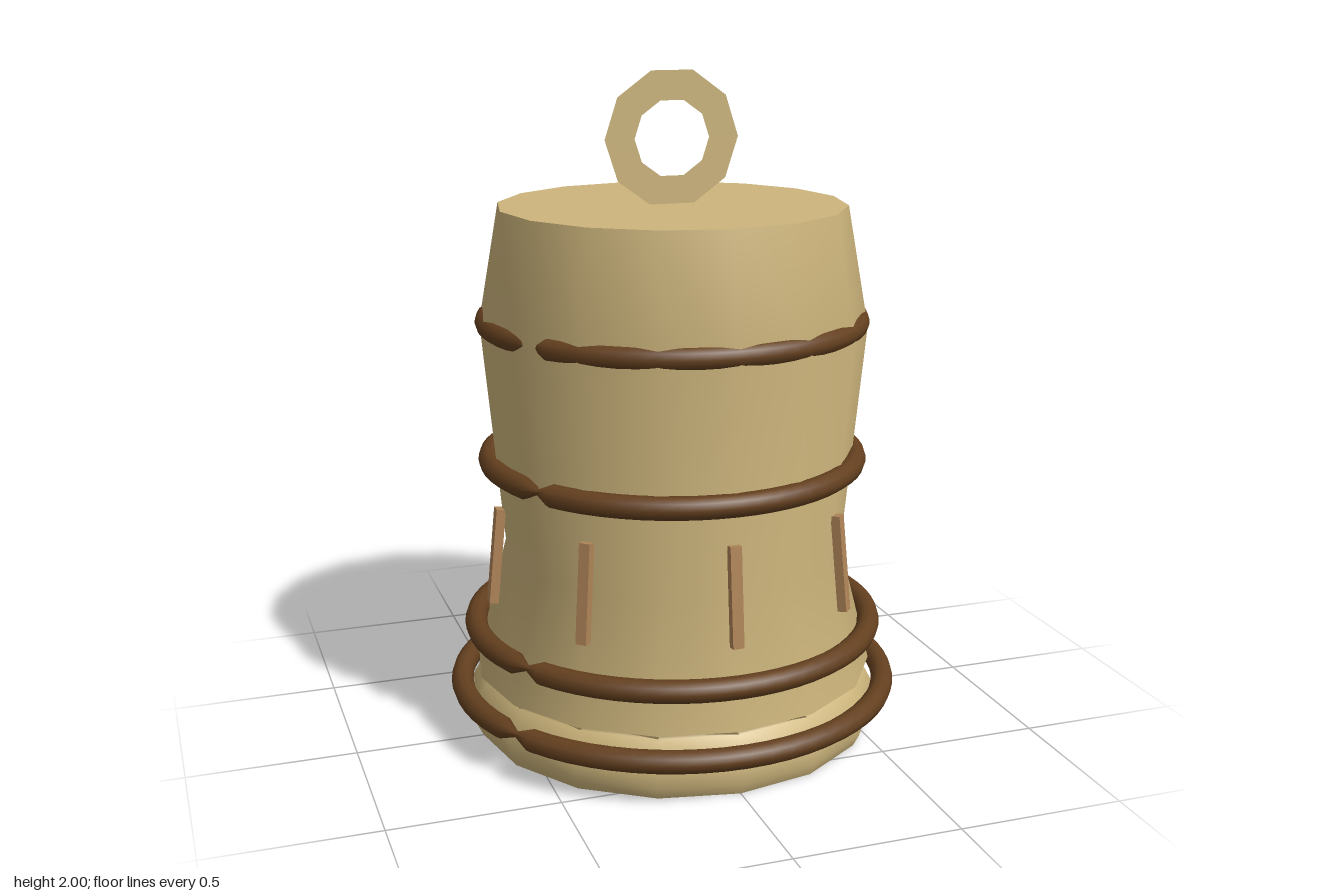
import * as THREE from 'three';

const brass = new THREE.MeshStandardMaterial({ color: 0xcdb57c });
brass.name = 'brass';
const flatBrass = new THREE.MeshStandardMaterial({ color: 0xcdb57c, side: THREE.DoubleSide });
flatBrass.name = 'brass sheet';
const darkBrown = new THREE.MeshStandardMaterial({ color: 0x64401f });
darkBrown.name = 'dark brown';
const copper = new THREE.MeshStandardMaterial({ color: 0xb08558 });
copper.name = 'copper';

const SIDES = 16;

function addMesh(parent, name, geometry, material) {
  const mesh = new THREE.Mesh(geometry, material);
  mesh.name = name;
  parent.add(mesh);
  return mesh;
}

// Hoop whose tube is pinched to a neck at two opposite spots
function pinchedHoop(outer, tube) {
  const R = outer - tube, segments = 64;
  const geometry = new THREE.TorusGeometry(R, tube, 10, segments);
  const pos = geometry.attributes.position;
  for (let i = 0; i < pos.count; i++) {
    const step = i % (segments + 1);
    if (step % 32 !== 5) continue;
    const a = (step / segments) * Math.PI * 2;
    const cx = R * Math.cos(a), cy = R * Math.sin(a), k = 0.25;
    pos.setXYZ(i, cx + (pos.getX(i) - cx) * k, cy + (pos.getY(i) - cy) * k, pos.getZ(i) * k);
  }
  geometry.rotateX(-Math.PI / 2);
  return geometry;
}

export function createModel() {
  const model = new THREE.Group();
  model.name = 'bell';

  // Body: lip, small undercut step, flared skirt, waist and shoulder
  const profile = [
    [0.612, 0], [0.63, 0.035], [0.635, 0.1], [0.595, 0.175],
    [0.57, 0.18], [0.615, 0.192], [0.52, 0.56], [0.585, 1.25], [0.52, 1.612],
  ].map(([r, y]) => new THREE.Vector2(r, y));
  addMesh(model, 'body', new THREE.LatheGeometry(profile, SIDES), brass);

  // Flat ends, angled so their corners meet the body
  const top = addMesh(model, 'crown', new THREE.CircleGeometry(0.52, SIDES), brass);
  top.rotation.x = -Math.PI / 2;
  top.position.y = 1.612;
  const base = addMesh(model, 'base', new THREE.CircleGeometry(0.612, SIDES), brass);
  base.rotation.x = Math.PI / 2;

  // Flat hanging loop
  const loop = addMesh(model, 'hangingLoop', new THREE.RingGeometry(0.115, 0.206, 10), flatBrass);
  loop.position.y = 1.804;

  // Hoops: outer radius and height
  const hoops = [[0.693, 0.137], [0.645, 0.328], [0.59, 0.848], [0.59, 1.27]];
  hoops.forEach(([outer, y], i) => {
    addMesh(model, `hoop${i + 1}`, pinchedHoop(outer, 0.034), darkBrown).position.y = y;
  });

  // Eight slim bars leaning against the waist
  for (let i = 0; i < 8; i++) {
    const pivot = new THREE.Group();
    pivot.name = `bar${i + 1}`;
    pivot.rotation.y = (i / 8) * Math.PI * 2;
    const bar = addMesh(pivot, 'bar', new THREE.BoxGeometry(0.034, 0.295, 0.028), copper);
    bar.position.set(0, 0.578, 0.557);
    bar.rotation.x = -0.1;
    model.add(pivot);
  }

  return model;
}
